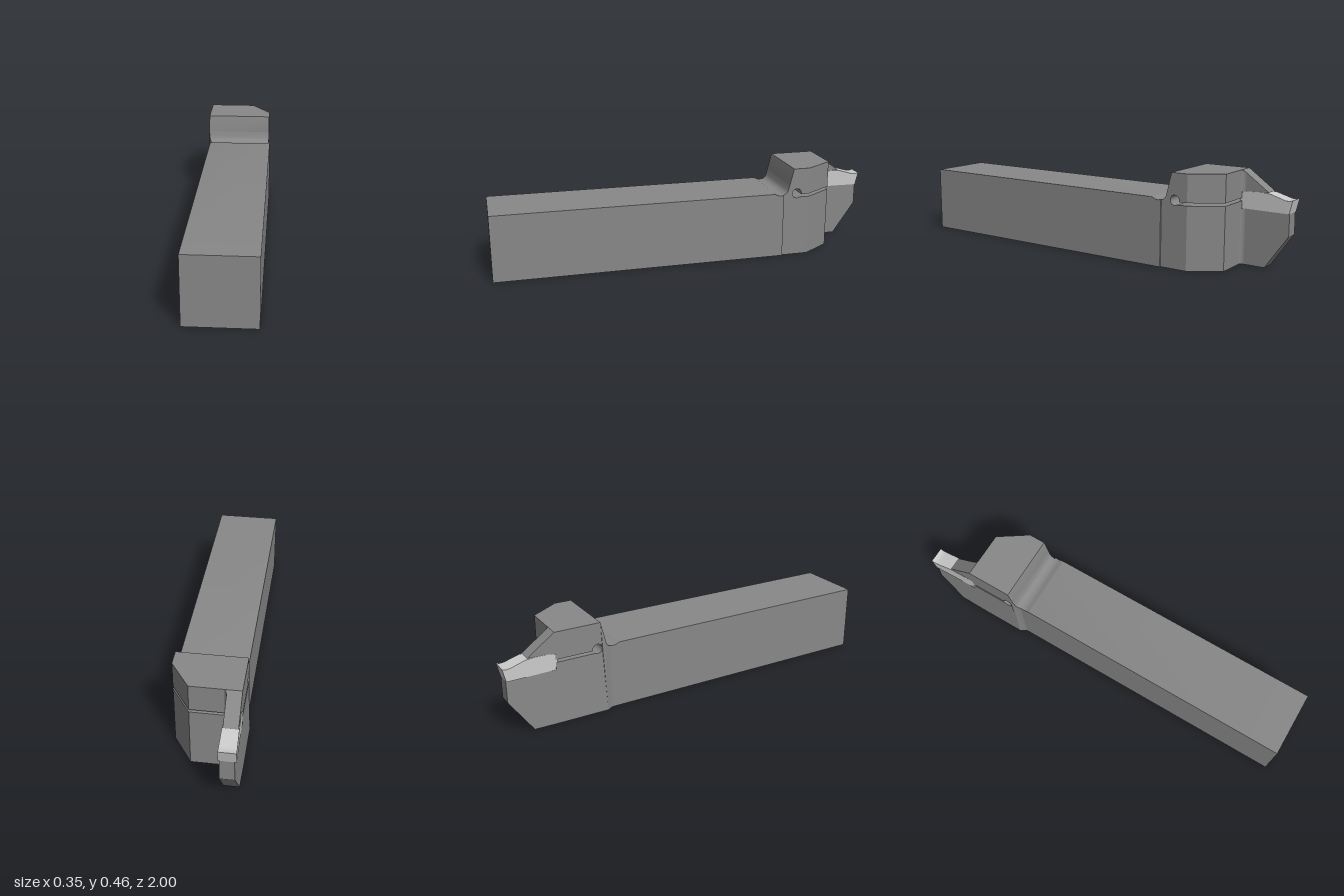
import * as THREE from 'three';
import { toCreasedNormals } from 'three/addons/utils/BufferGeometryUtils.js';

const steel = new THREE.MeshStandardMaterial({ color: 0x888888 });
const carbide = new THREE.MeshStandardMaterial({ color: 0xcccccc });

// Side profile [u, y] (u = distance towards the back, -z) spanned across x
// between the surfaces x = left(u, y) and x = right(u, y).
function slab(name, points, left, right, material = steel) {
  const shape = new THREE.Shape(points.map(([u, y]) => new THREE.Vector2(u, y)));
  const geo = new THREE.ExtrudeGeometry(shape, { depth: 1, bevelEnabled: false });
  geo.rotateY(Math.PI / 2);
  const p = geo.attributes.position;
  for (let i = 0; i < p.count; i++) {
    const u = -p.getZ(i), y = p.getY(i);
    p.setX(i, p.getX(i) < 0.5 ? left(u, y) : right(u, y));
  }
  const mesh = new THREE.Mesh(toCreasedNormals(geo, 0.5), material);
  mesh.name = name;
  return mesh;
}

// Concave fillet in the corner between the head and the blade
function cornerFillet(name, y0, topAt) {
  const r = 0.022, x = -0.1, u = 0.743;
  const shape = new THREE.Shape();
  shape.moveTo(x, u);
  shape.lineTo(x + r, u);
  shape.absarc(x + r, u + r, r, -Math.PI / 2, -Math.PI, true);
  shape.closePath();
  const geo = new THREE.ExtrudeGeometry(shape, { depth: 1, bevelEnabled: false, curveSegments: 8 });
  geo.rotateX(-Math.PI / 2);
  const p = geo.attributes.position;
  for (let i = 0; i < p.count; i++) p.setY(i, p.getY(i) < 0.5 ? y0 : topAt(-p.getZ(i)));
  const mesh = new THREE.Mesh(toCreasedNormals(geo, 0.5), steel);
  mesh.name = name;
  return mesh;
}

export function createModel() {
  const group = new THREE.Group();
  group.name = 'groovingToolHolder';

  const slotLow = 0.308, slotHigh = 0.322, top = 0.457;
  const lerp = THREE.MathUtils.lerp;
  // The head's outer side leans out slightly towards the bottom
  const lean = (u, y) => -0.168 - 0.008 * Math.max(0, 1 - y / slotLow);
  const headRight = () => 0.168;
  // Diagonal cut on the back corner of the head
  const chamfer = (u) => lerp(0.168, 0.07, (u - 0.6) / 0.145);

  // Square shank with the start of the relief groove
  group.add(slab('shank',
    [[-1, 0], [0.463, 0], [0.463, 0.324], [0.45, 0.322], [0.435, 0.324], [0.42, 0.331], [0.41, 0.333], [-1, 0.333]],
    () => -0.157, () => 0.175));

  // Neck curving up from the shank and stepping out to the head
  group.add(slab('neck',
    [[0.463, 0], [0.495, 0], [0.495, 0.373], [0.488, 0.346], [0.483, 0.336], [0.474, 0.328], [0.463, 0.324]],
    (u, y) => lerp(-0.157, lean(u, y), (u - 0.463) / 0.032), headRight));

  // Head front with the round relief hole opening into the clamping slot
  const cu = 0.535, cy = 0.328, r = 0.024, hole = [];
  const a0 = Math.asin((slotLow - cy) / r), a1 = Math.asin((slotHigh - cy) / r) - 2 * Math.PI;
  for (let i = 0; i <= 24; i++) {
    const a = lerp(a0, a1, i / 24);
    hole.push([cu + r * Math.cos(a), cy + r * Math.sin(a)]);
  }
  group.add(slab('headFront',
    [[0.495, 0], [0.6, 0], [0.6, slotLow], ...hole, [0.6, slotHigh], [0.6, top], [0.516, top], [0.495, 0.373]],
    lean, headRight));

  // Chamfered head back, split by the slot
  group.add(slab('headBackLower', [[0.6, 0], [0.745, 0], [0.745, slotLow], [0.6, slotLow]], lean, chamfer));
  group.add(slab('headBackUpper', [[0.6, slotHigh], [0.745, slotHigh], [0.745, top], [0.6, top]], lean, chamfer));

  // Thin blade below the insert and the sloping clamp above it
  const bladeRight = () => -0.1;
  group.add(slab('blade',
    [[0.745, 0], [0.87, 0], [0.985, 0.165], [0.985, 0.272], [0.745, 0.272]],
    (u, y) => lean(u, y) + 0.004 * (u - 0.745) / 0.24, bladeRight));
  group.add(slab('clamp',
    [[0.745, 0.35], [0.85, 0.358], [0.88, 0.36], [0.745, top]], () => -0.168, bladeRight));
  group.add(cornerFillet('lowerFillet', 0, () => 0.272));
  group.add(cornerFillet('upperFillet', 0.35, (u) => top - 0.72 * (u - 0.743)));

  // Cutting insert, widening towards its edge
  group.add(slab('insert',
    [[0.735, 0.272], [0.985, 0.272], [1, 0.337], [0.985, 0.332], [0.965, 0.333], [0.89, 0.355],
      [0.85, 0.359], [0.76, 0.355], [0.735, 0.342]],
    (u) => lerp(-0.167, -0.175, (u - 0.735) / 0.265),
    (u) => lerp(-0.099, -0.094, (u - 0.735) / 0.265), carbide));

  return group;
}
